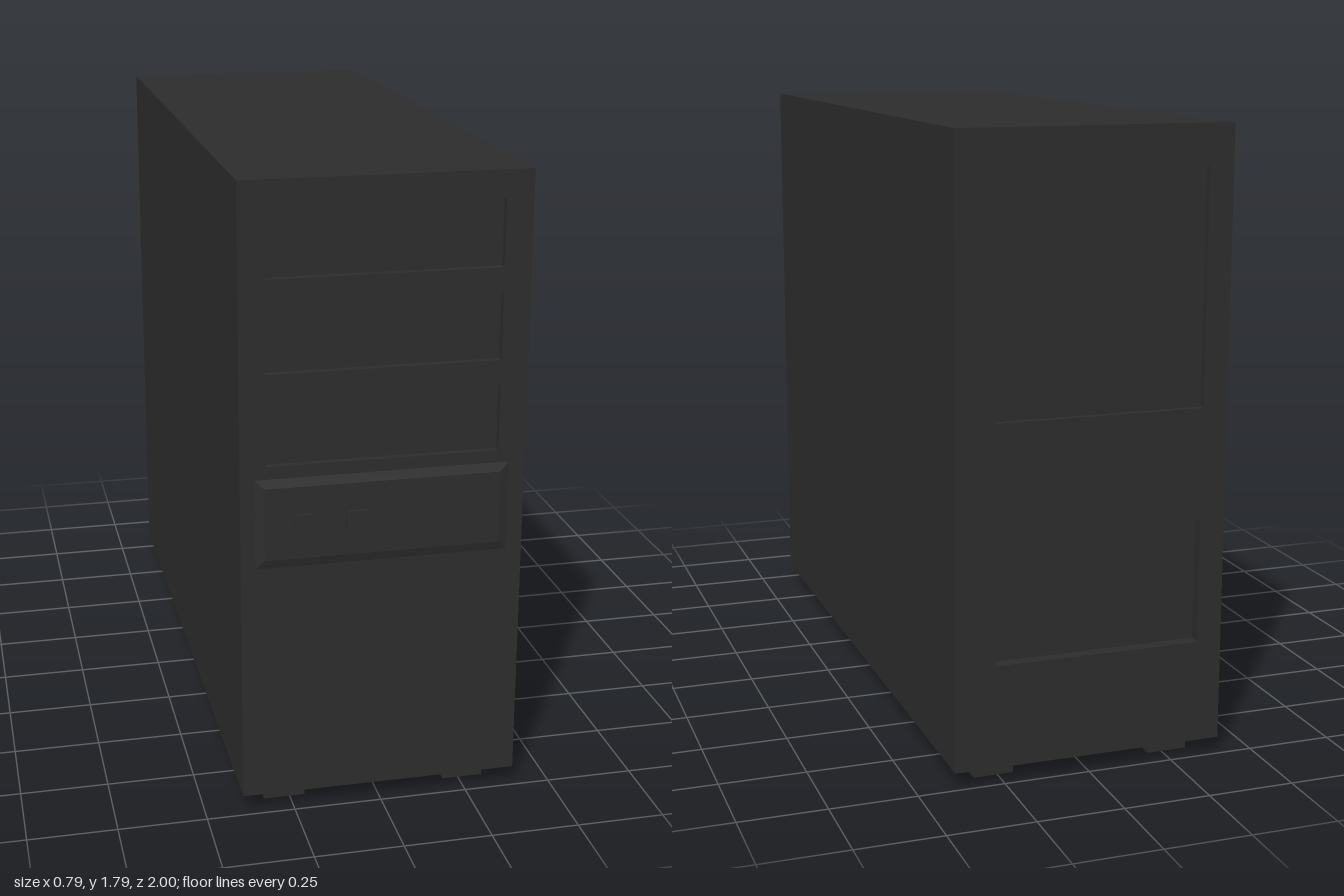
import * as THREE from 'three';

const W = 0.395, BOTTOM = 0.05, TOP = 1.795, FRONT = 0.985, BACK = -1;
const FRONT_PLATE = 0.02, BACK_PLATE = 0.035;

// Rectangle outline given as [x0, x1, y0, y1]
function rect([x0, x1, y0, y1], PathClass = THREE.Shape) {
  const path = new PathClass();
  path.moveTo(x0, y0);
  path.lineTo(x1, y0);
  path.lineTo(x1, y1);
  path.lineTo(x0, y1);
  path.closePath();
  return path;
}

export function createModel() {
  const model = new THREE.Group();
  model.name = 'computerTower';
  const charcoal = new THREE.MeshStandardMaterial({ color: 0x2d2d2d });
  charcoal.name = 'charcoal';

  function add(name, geometry, x = 0, y = 0, z = 0) {
    const mesh = new THREE.Mesh(geometry, charcoal);
    mesh.name = name;
    mesh.position.set(x, y, z);
    model.add(mesh);
  }

  // Box given by its extents along each axis
  function box(name, x0, x1, y0, y1, z0, z1) {
    add(name, new THREE.BoxGeometry(x1 - x0, y1 - y0, z1 - z0),
      (x0 + x1) / 2, (y0 + y1) / 2, (z0 + z1) / 2);
  }

  // Face plate with rectangular openings
  function plate(name, openings, depth, z) {
    const shape = rect([-W, W, BOTTOM, TOP]);
    shape.holes = openings.map((o) => rect(o, THREE.Path));
    add(name, new THREE.ExtrudeGeometry(shape, { depth, bevelEnabled: false }), 0, 0, z);
  }

  // Case
  box('case', -W, W, BOTTOM, TOP, BACK + BACK_PLATE, FRONT - FRONT_PLATE);

  // Front plate with three recessed drive bays
  const bays = [1.535, 1.28, 1.025].map((y) => [-0.325, 0.32, y, y + 0.185]);
  plate('frontPlate', bays, FRONT_PLATE, FRONT - FRONT_PLATE);

  // Back plate with a shallow upper recess and a deeper lower one
  const upper = [-0.323, 0.277, 1.02, 1.683];
  const lower = [-0.323, 0.277, 0.345, 0.7];
  plate('backPlate', [upper, lower], BACK_PLATE, BACK);
  box('upperBackPanel', ...upper, BACK + 0.018, BACK + BACK_PLATE);

  // Raised control panel with bevelled edges
  const panel = new THREE.ExtrudeGeometry(rect([-0.33, 0.325, 0.76, 0.965]), {
    depth: 0.001, bevelEnabled: true, bevelSize: 0.025, bevelThickness: 0.007, bevelSegments: 1,
  });
  add('controlPanel', panel, 0, 0, FRONT);

  // Buttons
  for (const x of [-0.25, -0.106]) box('button', x, x + 0.055, 0.836, 0.887, FRONT, 1);

  // Feet
  for (const x of [-0.325, 0.203]) {
    for (const z of [0.763, -0.935]) box('foot', x, x + 0.118, 0, BOTTOM, z, z + 0.162);
  }

  return model;
}
